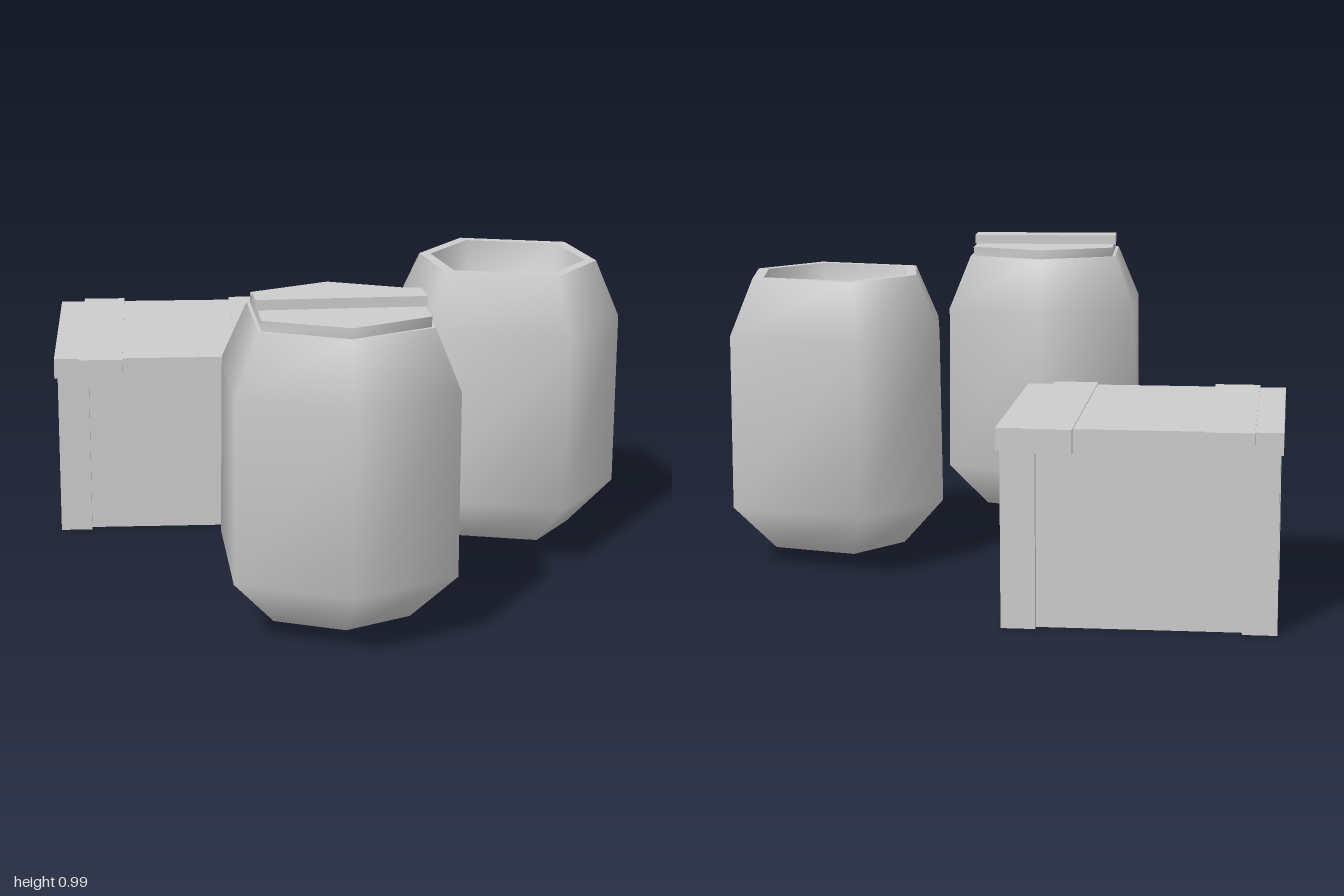
import * as THREE from 'three';

const grey = new THREE.MeshStandardMaterial({ color: 0xcccccc, side: THREE.DoubleSide });
grey.name = 'plain grey';

// Stretched hexagon shared by both barrels
const HEX = [[0.36, 0], [0.22, 0.32], [-0.22, 0.32], [-0.36, 0], [-0.22, -0.32], [0.22, -0.32]];

// Lofts the hexagon through rings of [scale, height], smooth within one call
function hexLoft(name, rings) {
  const pos = [], index = [];
  rings.forEach(([s, y]) => HEX.forEach(([x, z]) => pos.push(x * s, y, z * s)));
  for (let r = 0; r < rings.length - 1; r++) {
    for (let i = 0; i < 6; i++) {
      const j = (i + 1) % 6, a = r * 6 + i, b = r * 6 + j;
      index.push(a, a + 6, b, b, a + 6, b + 6);
    }
  }
  const geo = new THREE.BufferGeometry();
  geo.setAttribute('position', new THREE.Float32BufferAttribute(pos, 3));
  geo.setIndex(index);
  geo.computeVertexNormals();
  return named(name, geo);
}

function named(name, geo, x = 0, y = 0, z = 0) {
  const mesh = new THREE.Mesh(geo, grey);
  mesh.name = name;
  mesh.position.set(x, y, z);
  return mesh;
}

function box(name, w, h, d, x, y, z) {
  return named(name, new THREE.BoxGeometry(w, h, d), x, y, z);
}

function barrel(name, x, z, turn) {
  const g = new THREE.Group();
  g.name = name;
  g.position.set(x, 0, z);
  g.rotation.y = THREE.MathUtils.degToRad(turn);
  g.add(
    hexLoft('barrelBottom', [[0.001, 0.055], [0.62, 0.055]]),
    hexLoft('barrelSide', [[0.62, 0.055], [1, 0.205], [0.985, 0.75], [0.77, 0.925]]),
  );
  return g;
}

function crate() {
  const g = new THREE.Group();
  g.name = 'crate';
  g.position.set(-0.455, 0, -0.243);
  g.rotation.y = THREE.MathUtils.degToRad(34.4);
  const w = 0.79, d = 0.72, h = 0.525, post = 0.1, inset = 0.022;

  // Lid with two straps that overhang its long edges
  g.add(box('crateLid', 0.81, 0.065, 0.745, 0, 0.5545, 0));
  for (const s of [-1, 1]) {
    g.add(box('lidStrap', 0.14, 0.07, 0.8, s * 0.255, 0.555, 0));

    // Hollow corner posts
    for (const t of [-1, 1]) {
      const tube = new THREE.CylinderGeometry(post / Math.SQRT2, post / Math.SQRT2, h, 4, 1, true)
        .rotateY(Math.PI / 4).toNonIndexed();
      tube.computeVertexNormals();
      g.add(named('cornerPost', tube, s * (w - post) / 2, h / 2, t * (d - post) / 2));
    }

    // Thin recessed walls, open underneath
    g.add(box('longWall', w - post, h, 0.008, 0, h / 2, s * (d / 2 - inset - 0.004)));
    g.add(box('shortWall', 0.008, h, d - post, s * (w / 2 - inset - 0.004), h / 2, 0));
  }
  return g;
}

export function createModel() {
  const model = new THREE.Group();
  model.name = 'cratesAndBarrels';
  model.add(crate());

  // Closed barrel with a lid and a cross plank
  const closed = barrel('closedBarrel', 0.55, 0.45, -53);
  closed.add(
    hexLoft('barrelRim', [[0.77, 0.925], [0.7, 0.925]]),
    hexLoft('lidEdge', [[0.74, 0.925], [0.74, 0.955]]),
    hexLoft('lidTop', [[0.74, 0.955], [0.001, 0.955]]),
    box('lidPlank', 0.1, 0.03, 0.485, 0, 0.97, 0),
  );

  // Open barrel with a hollow inside
  const open = barrel('openBarrel', 0.652, -0.452, 21);
  open.add(
    hexLoft('barrelRim', [[0.77, 0.925], [0.67, 0.925]]),
    hexLoft('barrelInside', [[0.67, 0.925], [0.55, 0.7], [0.001, 0.68]]),
  );

  model.add(closed, open);
  return model;
}
